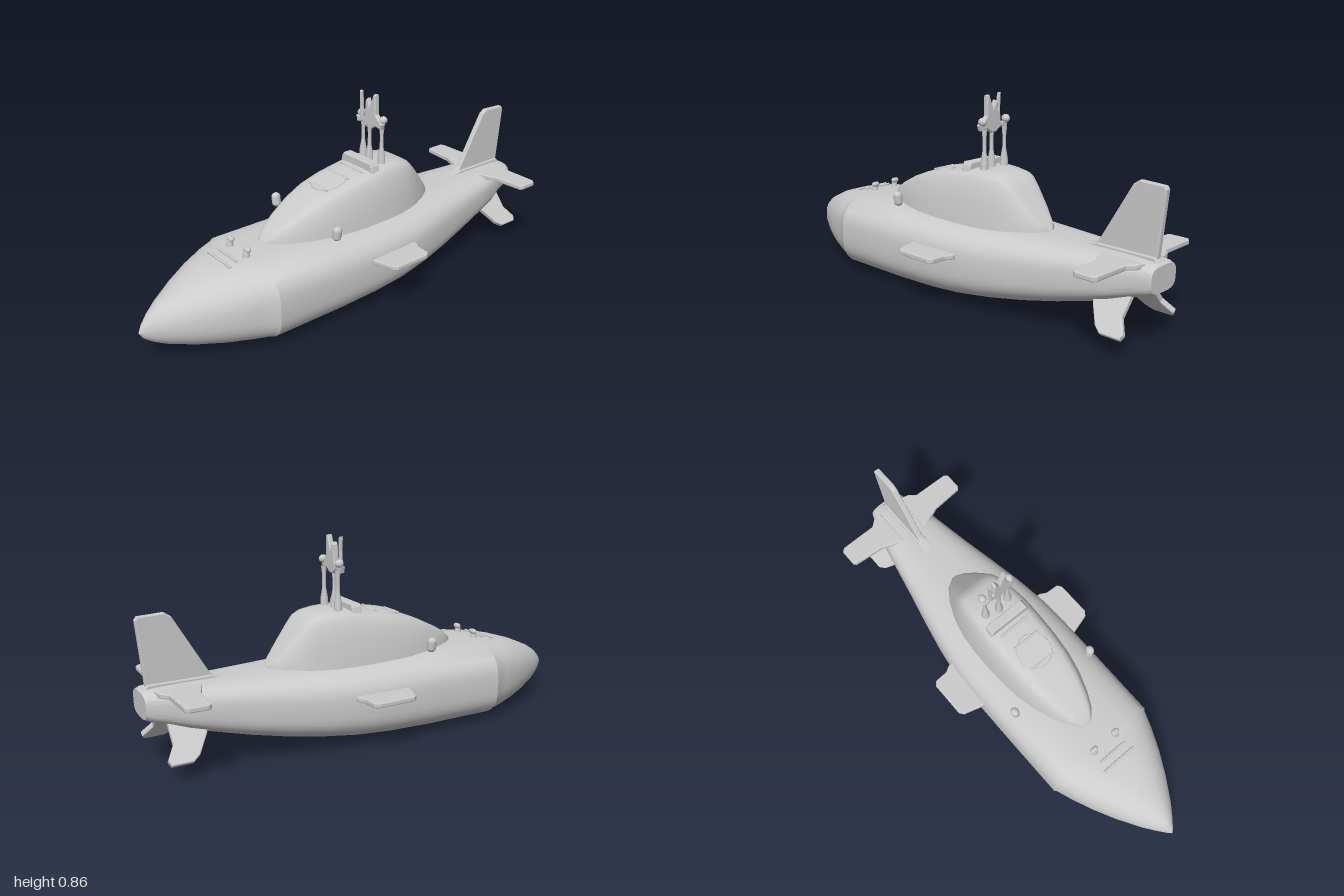
import * as THREE from 'three';
import { toCreasedNormals } from 'three/addons/utils/BufferGeometryUtils.js';

const material = new THREE.MeshStandardMaterial({ color: 0xcccccc, side: THREE.DoubleSide });

function add(parent, name, geometry, x = 0, y = 0, z = 0) {
  const mesh = new THREE.Mesh(geometry, material);
  mesh.name = name;
  mesh.position.set(x, y, z);
  parent.add(mesh);
  return mesh;
}

// Skin over closed rings of [x, y, z] points, ordered from bow to stern, closed at the rear
function loft(rings, crease) {
  const n = rings[0].length, pos = [], index = [];
  rings.forEach(ring => ring.forEach(p => pos.push(...p)));
  for (let i = 0; i < rings.length - 1; i++) {
    for (let j = 0; j < n; j++) {
      const a = i * n + j, a1 = i * n + (j + 1) % n;
      index.push(a, a + n, a1, a1, a + n, a1 + n);
    }
  }
  const last = rings.length - 1, c = pos.length / 3;
  const mid = [0, 1, 2].map(k => rings[last].reduce((s, p) => s + p[k], 0) / n);
  pos.push(...mid);
  for (let j = 0; j < n; j++) index.push(c, last * n + (j + 1) % n, last * n + j);
  const g = new THREE.BufferGeometry();
  g.setAttribute('position', new THREE.Float32BufferAttribute(pos, 3));
  g.setIndex(index);
  return toCreasedNormals(g, crease);
}

// Flat plate from an outline, centred on its thickness, with a softened rim
function plate(points, thickness, bevel = 0.005) {
  const shape = new THREE.Shape(points.map(p => new THREE.Vector2(...p)));
  const depth = thickness - 2 * bevel;
  const g = new THREE.ExtrudeGeometry(shape, {
    depth, bevelThickness: bevel, bevelSize: bevel, bevelOffset: -bevel, bevelSegments: 2
  });
  return g.translate(0, 0, -depth / 2);
}
const sidePlate = (pts, t) => plate(pts, t).rotateY(-Math.PI / 2);   // outline given as z, y
const levelPlate = (pts, t) => plate(pts, t).rotateX(Math.PI / 2);   // outline given as x, z

// Hull stations: z, half width, bottom, top, squareness
const HULL = [
  [1, 0.002, 0.138, 0.142, 2], [0.985, 0.016, 0.112, 0.172, 2], [0.95, 0.045, 0.085, 0.208, 2],
  [0.9, 0.082, 0.06, 0.24, 2.1], [0.8, 0.143, 0.03, 0.285, 2.3], [0.7, 0.195, 0.012, 0.317, 2.5],
  [0.6, 0.237, 0.004, 0.335, 2.8], [0.535, 0.26, 0.002, 0.34, 3], [0.525, 0.268, 0.001, 0.341, 3.1],
  [0.2, 0.27, 0.004, 0.341, 3.1], [0, 0.27, 0.012, 0.341, 3.1], [-0.15, 0.264, 0.024, 0.341, 3.1],
  [-0.3, 0.243, 0.043, 0.341, 3.1], [-0.45, 0.213, 0.068, 0.341, 3.1], [-0.6, 0.18, 0.1, 0.341, 3.1],
  [-0.75, 0.15, 0.14, 0.341, 3.1], [-0.84, 0.132, 0.168, 0.341, 3.1], [-0.92, 0.1, 0.195, 0.34, 3.2],
  [-0.98, 0.088, 0.215, 0.336, 3.4], [-1, 0.08, 0.225, 0.328, 3.4]
];

function hullGeometry() {
  const power = (v, e) => Math.sign(v) * Math.abs(v) ** e;
  return loft(HULL.map(([z, w, bottom, top, n]) => {
    const ring = [];
    for (let j = 0; j < 56; j++) {
      const a = j / 56 * Math.PI * 2;
      ring.push([w * power(Math.cos(a), 2 / n),
        (top + bottom) / 2 + (top - bottom) / 2 * power(Math.sin(a), 2 / n), z]);
    }
    return ring;
  }), 0.6);
}

// Sail stations: z, half width at the deck, top
const SAIL = [
  [0.435, 0.004, 0.338], [0.42, 0.035, 0.355], [0.38, 0.068, 0.387], [0.32, 0.098, 0.422],
  [0.24, 0.127, 0.462], [0.15, 0.147, 0.498], [0.05, 0.157, 0.523], [-0.05, 0.16, 0.54],
  [-0.14, 0.158, 0.556], [-0.22, 0.15, 0.553], [-0.28, 0.138, 0.546], [-0.31, 0.13, 0.532],
  [-0.34, 0.119, 0.5], [-0.4, 0.092, 0.428], [-0.45, 0.058, 0.372], [-0.48, 0.012, 0.338]
];

function sailGeometry() {
  const half = [[1, 0], [0.97, 0.2], [0.92, 0.45], [0.85, 0.68], [0.77, 0.85], [0.68, 0.95], [0.55, 0.99], [0.28, 1]];
  const profile = [...half, [0, 1], ...half.map(([x, y]) => [-x, y]).reverse()];
  const floor = 0.33;
  return loft(SAIL.map(([z, w, top]) =>
    profile.map(([x, y]) => [x * w, floor + y * (top - floor), z])), 0.7);
}

export function createModel() {
  const model = new THREE.Group();
  model.name = 'submarine';
  add(model, 'hull', hullGeometry());
  add(model, 'sail', sailGeometry());

  // Raised deck edge and stern block
  add(model, 'deckSpine', sidePlate([[-0.6, 0.33], [-0.72, 0.352], [-0.97, 0.352], [-0.99, 0.33]], 0.045));

  // Bridge hood, raked front and steps on the sail
  const hood = plate([[-0.105, 0.53], [0.105, 0.53], [0.097, 0.565], [0.088, 0.579], [-0.088, 0.579], [-0.097, 0.565]], 0.045);
  add(model, 'bridgeHood', hood, 0, 0, -0.1);
  for (const [z, y, w] of [[-0.055, 0.541, 0.14], [0.02, 0.53, 0.12], [0.13, 0.505, 0.11]])
    add(model, 'sailStep', new THREE.CapsuleGeometry(0.006, w, 4, 10).rotateZ(Math.PI / 2), 0, y, z);
  const hatch = new THREE.CylinderGeometry(0.075, 0.08, 0.012, 28).rotateX(0.21);
  add(model, 'hatch', hatch, 0, 0.514, 0.075);

  // Periscope cluster: three posts with flared feet, a yoke and pointed masts
  const masts = new THREE.Group();
  masts.name = 'periscopes';
  masts.position.z = -0.16;
  model.add(masts);
  const post = new THREE.LatheGeometry([[0.018, 0.54], [0.016, 0.585], [0.008, 0.63], [0.008, 0.68], [0.012, 0.72]]
    .map(p => new THREE.Vector2(...p)), 12);
  for (const x of [-0.06, 0, 0.06]) add(masts, 'post', post, x, 0, x ? -0.008 : 0.008);
  add(masts, 'yoke', plate([[-0.075, 0.71], [-0.04, 0.72], [-0.01, 0.7], [0.015, 0.7], [0.04, 0.718], [0.075, 0.712],
    [0.083, 0.735], [0.06, 0.755], [0.042, 0.77], [0.04, 0.855], [0.028, 0.857], [0.005, 0.795], [-0.012, 0.832],
    [-0.022, 0.82], [-0.027, 0.75], [-0.045, 0.738], [-0.083, 0.74]], 0.024), 0, 0, 0.004);
  add(masts, 'aerial', plate([[-0.052, 0.735], [-0.034, 0.735], [-0.04, 0.79], [-0.043, 0.855], [-0.053, 0.858], [-0.05, 0.8]],
    0.016, 0.003), 0, 0, 0.014);

  for (const s of [1, -1]) {
    add(masts, 'mastHead', new THREE.SphereGeometry(0.016, 14, 10).scale(1, 1.1, 1.2), s * 0.07, 0.75, -0.006);

    // Diving planes amidships and at the stern
    add(model, 'divingPlane', levelPlate([[s * 0.24, 0.055], [s * 0.275, 0.05], [s * 0.36, 0.025], [s * 0.375, 0.005],
      [s * 0.375, -0.155], [s * 0.36, -0.175], [s * 0.3, -0.178], [s * 0.27, -0.195], [s * 0.24, -0.195]], 0.022), 0, 0.229, 0);
    add(model, 'sternPlane', levelPlate([[s * 0.06, -0.77], [s * 0.125, -0.795], [s * 0.16, -0.81], [s * 0.3, -0.822],
      [s * 0.31, -0.835], [s * 0.31, -0.91], [s * 0.295, -0.923], [s * 0.13, -0.925], [s * 0.1, -0.95], [s * 0.06, -0.96]],
      0.022), 0, 0.329, 0);

    // Splayed lower fins
    const fin = add(model, 'lowerFin', sidePlate([[-0.75, 0.02], [-0.78, -0.06], [-0.83, -0.14], [-0.86, -0.163],
      [-0.945, -0.163], [-0.955, -0.14], [-0.92, -0.08], [-0.92, 0.02]], 0.024), s * 0.075, 0.198, 0);
    fin.rotation.z = s * 0.7;

    // Deck lamps and bow cleats
    const lamp = new THREE.CapsuleGeometry(0.018, 0.028, 5, 12).scale(1, 1, 1.15);
    add(model, 'deckLamp', lamp, s * 0.212, 0.389, 0.2).rotation.z = -s * 0.12;
    add(model, 'cleatFoot', new THREE.CylinderGeometry(0.011, 0.016, 0.03, 12), s * 0.06, 0.35, 0.54);
    add(model, 'cleatHead', new THREE.CapsuleGeometry(0.012, 0.014, 4, 10).rotateZ(Math.PI / 2), s * 0.06, 0.368, 0.535);
  }

  // Bow vents
  for (const [z, y, w] of [[0.63, 0.331, 0.16], [0.59, 0.338, 0.13]])
    add(model, 'bowVent', new THREE.CapsuleGeometry(0.006, w, 4, 8).rotateZ(Math.PI / 2), 0, y, z);

  // Upright tail fin
  add(model, 'tailFin', sidePlate([[-0.68, 0.33], [-0.72, 0.365], [-0.86, 0.605], [-0.885, 0.622], [-0.99, 0.618],
    [-1, 0.605], [-0.975, 0.33]], 0.026));
  return model;
}
